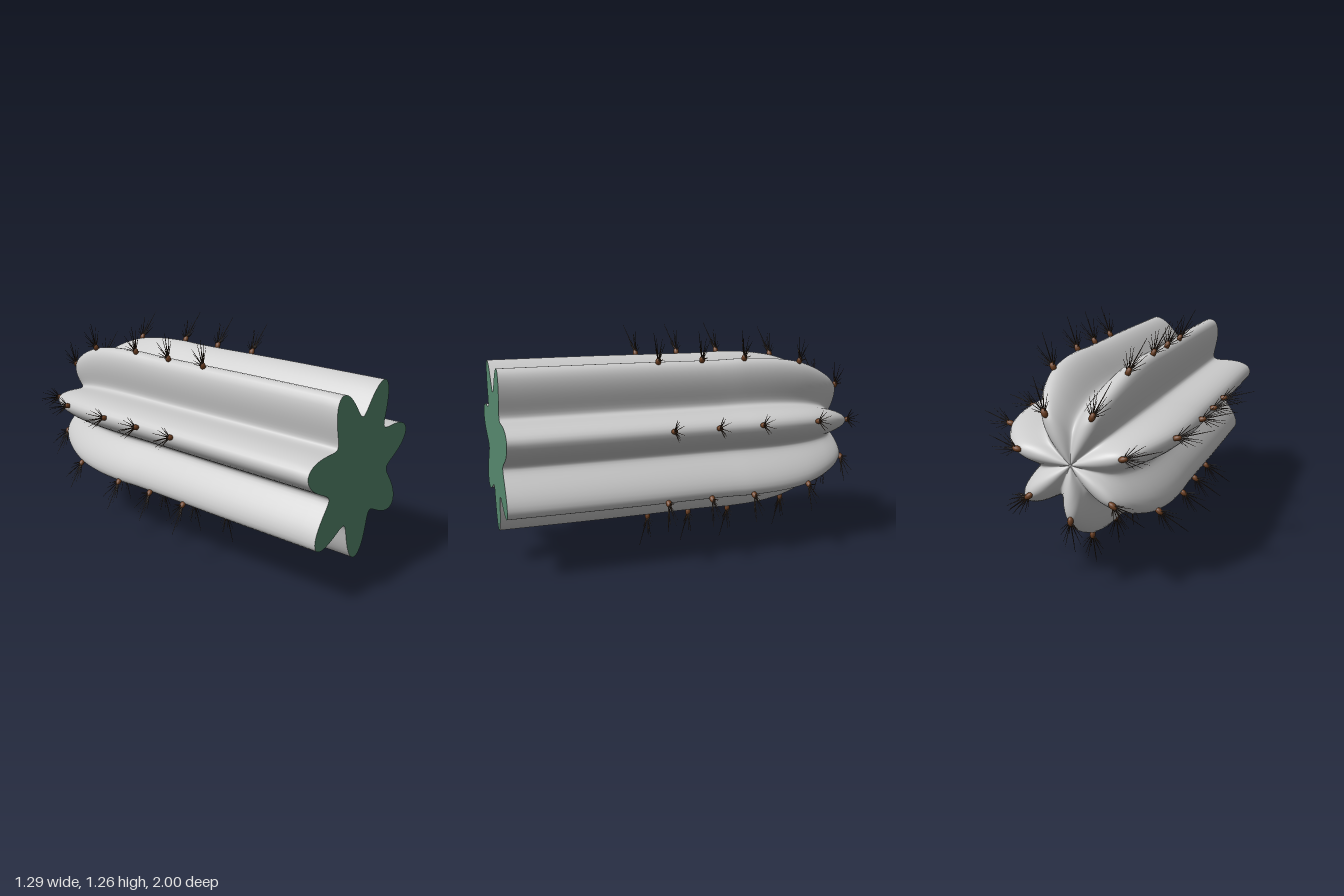
import * as THREE from 'three';
import { mergeGeometries } from 'three/addons/utils/BufferGeometryUtils.js';

const RIBS = 7, AROUND = 168, ALONG = 84, CENTRE_Y = 0.661;

// Lengthwise profiles (radius, z) of a rib crest and of the groove between ribs
const curve = (pts) => new THREE.CatmullRomCurve3(pts.map(([r, z]) => new THREE.Vector3(r, 0, z)));
const crest = curve([[0.476, 1], [0.476, 0.4], [0.471, -0.2], [0.474, -0.36], [0.464, -0.55], [0.437, -0.7],
  [0.4, -0.8], [0.356, -0.88], [0.31, -0.94], [0.26, -0.978], [0.18, -0.99], [0.08, -0.983], [0, -0.965]]);
const groove = curve([[0.284, 1], [0.284, 0.4], [0.281, -0.2], [0.283, -0.36], [0.276, -0.55], [0.258, -0.7],
  [0.234, -0.8], [0.2, -0.88], [0.158, -0.925], [0.115, -0.945], [0.075, -0.957], [0.035, -0.963], [0, -0.965]]);

const ribAngle = (k) => -Math.PI / 2 + (k / RIBS) * Math.PI * 2;

// Ring of points blending crest and groove around the stem
function ring(t) {
  const a = crest.getPoint(t), b = groove.getPoint(t);
  return Array.from({ length: AROUND }, (_, j) => {
    const phi = (j / AROUND) * Math.PI * 2, theta = phi - Math.PI / 2;
    const w = (1 + Math.cos(RIBS * phi)) / 2;
    const r = THREE.MathUtils.lerp(b.x, a.x, w);
    return new THREE.Vector3(r * Math.cos(theta), r * Math.sin(theta), THREE.MathUtils.lerp(b.z, a.z, w));
  });
}

function stemGeometry() {
  const points = [], index = [];
  for (let i = 0; i <= ALONG; i++) points.push(...ring(i / ALONG));
  for (let i = 0; i < ALONG; i++) {
    for (let j = 0; j < AROUND; j++) {
      const a = i * AROUND + j, b = i * AROUND + ((j + 1) % AROUND);
      index.push(a, a + AROUND, b);
      if (i < ALONG - 1) index.push(b, a + AROUND, b + AROUND);
    }
  }
  const g = new THREE.BufferGeometry().setFromPoints(points);
  g.setIndex(index);
  g.computeVertexNormals();
  // The tip vertices coincide and share one normal
  for (let j = 0; j < AROUND; j++) g.attributes.normal.setXYZ(ALONG * AROUND + j, 0, 0, -1);
  return g;
}

// Tapered spine from the areole's centre to a tip
function spine(x, y, z, radius) {
  const tip = new THREE.Vector3(x, y, z), len = tip.length();
  const g = new THREE.CylinderGeometry(radius * 0.25, radius, len, 5).translate(0, len / 2, 0);
  const q = new THREE.Quaternion().setFromUnitVectors(new THREE.Vector3(0, 1, 0), tip.normalize());
  return g.applyQuaternion(q);
}

// Fan of spines: local y points outwards, z runs along the stem
function spineFan() {
  const parts = [spine(0, 0.176, 0.05, 0.004)];
  const half = [[0.045, 0.115, 0.012], [0.024, 0.125, -0.012], [0.056, 0.08, 0.008],
    [0.05, 0.045, -0.006], [0.018, 0.075, 0.022], [0.032, 0.028, -0.02]];
  for (const [x, y, z] of half) {
    for (const s of [1, -1]) parts.push(spine(s * x, y, z, 0.0028));
  }
  return mergeGeometries(parts);
}

export function createModel() {
  const model = new THREE.Group();
  model.name = 'ribbedCactusStem';
  const body = new THREE.Group();
  body.name = 'body';
  body.position.y = CENTRE_Y;
  model.add(body);

  const grey = new THREE.MeshStandardMaterial({ color: 0xcccccc });
  const green = new THREE.MeshStandardMaterial({ color: 0x578a70 });
  const brown = new THREE.MeshStandardMaterial({ color: 0x6e4022 });
  const dark = new THREE.MeshStandardMaterial({ color: 0x3c2c20 });

  const add = (parent, name, geometry, material) => {
    const m = new THREE.Mesh(geometry, material);
    m.name = name;
    parent.add(m);
    return m;
  };

  add(body, 'ribbedStem', stemGeometry(), grey);

  // Flat cut face at the front end
  const outline = new THREE.Shape(ring(0).map((p) => new THREE.Vector2(p.x, p.y)));
  add(body, 'cutFace', new THREE.ShapeGeometry(outline), green).position.z = 1;

  // Areoles with spines in a row along every rib: [z, radius]
  const budGeometry = new THREE.SphereGeometry(1, 12, 8).scale(0.015, 0.024, 0.016);
  const fanGeometry = spineFan();
  const rows = [[0.15, 0.484], [-0.1, 0.484], [-0.35, 0.484], [-0.7, 0.449], [-0.98, 0.272]];
  for (let k = 0; k < RIBS; k++) {
    const angle = ribAngle(k);
    for (const [z, r] of rows) {
      const areole = new THREE.Group();
      areole.name = 'areole';
      areole.position.set(r * Math.cos(angle), r * Math.sin(angle), z);
      areole.rotation.z = angle - Math.PI / 2;
      add(areole, 'areoleBud', budGeometry, brown);
      add(areole, 'spines', fanGeometry, dark);
      body.add(areole);
    }
  }
  return model;
}
